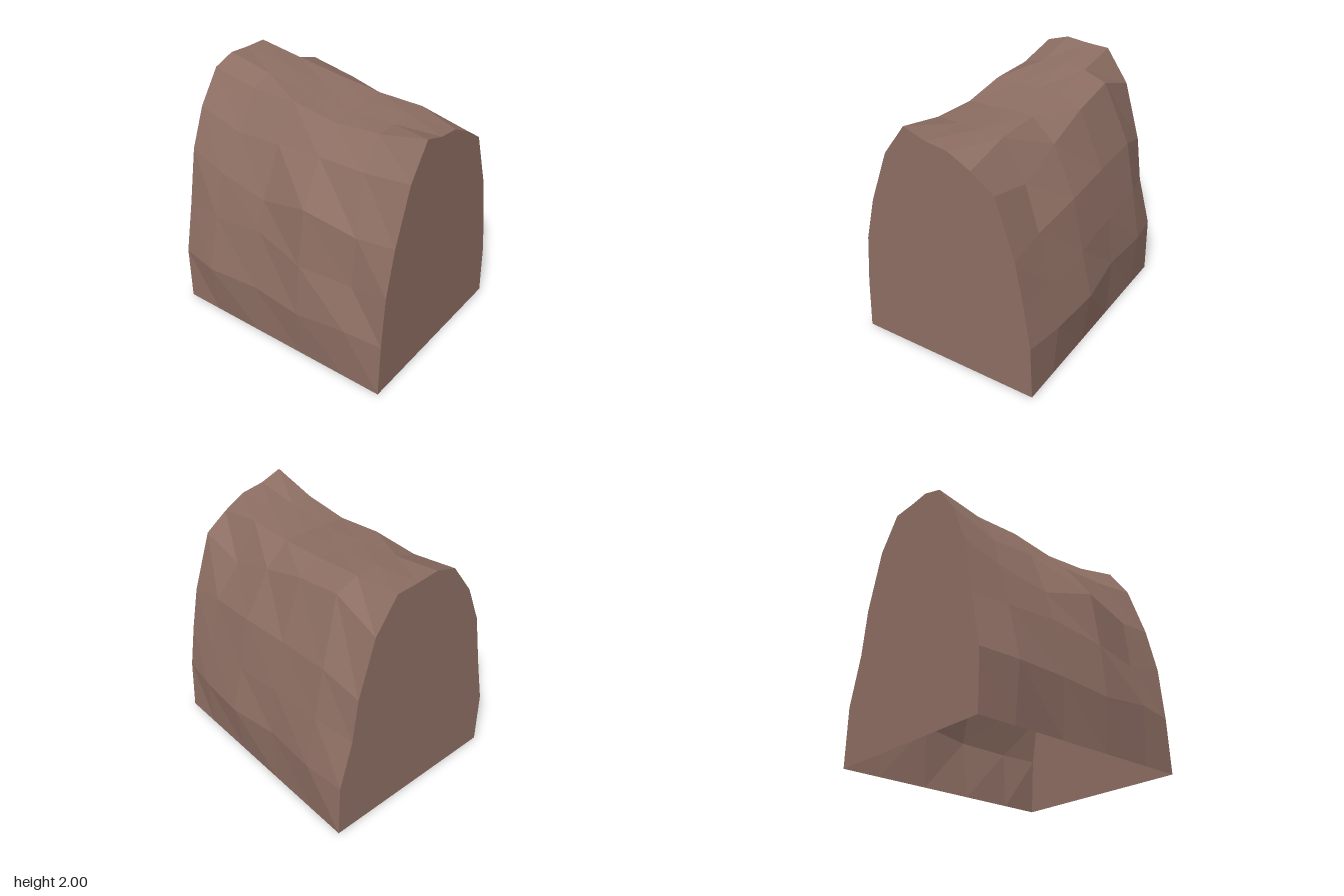
import * as THREE from 'three';

// Stations along the length, front to back (the flanks wander slightly in z)
const crestZ = [0.96, 0.575, 0.19, -0.19, -0.575, -0.96];
const flankZ = [0.96, 0.65, 0.22, -0.21, -0.65, -0.96];

// Lengthwise lanes, from the foot of the right flank over the crest to the left flank.
// Crest lanes keep a constant x and vary in height.
const crestLane = (x, ys) => ys.map((y, i) => [x, y, crestZ[i]]);
const flankLane = (xs, ys) => xs.map((x, i) => [x, ys[i], flankZ[i]]);
const footLane = (x) => flankZ.map((z) => [x, 0, z]);

const lanes = [
  footLane(-0.78),
  flankLane([-0.76, -0.8, -0.815, -0.8, -0.83, -0.78], [0.45, 0.47, 0.42, 0.46, 0.45, 0.47]),
  flankLane([-0.72, -0.7, -0.77, -0.71, -0.72, -0.69], [0.88, 0.82, 0.85, 0.94, 0.9, 0.89]),
  flankLane([-0.63, -0.65, -0.7, -0.64, -0.62, -0.6], [1.25, 1.22, 1.31, 1.19, 1.26, 1.36]),
  crestLane(-0.47, [1.69, 1.64, 1.63, 1.6, 1.57, 1.68]),
  crestLane(-0.285, [1.95, 1.86, 1.83, 1.88, 1.87, 1.94]),
  crestLane(-0.105, [1.89, 1.86, 1.84, 1.88, 1.93, 2.0]),
  crestLane(0.08, [1.865, 1.865, 1.85, 1.88, 1.94, 1.985]),
  crestLane(0.265, [1.77, 1.85, 1.85, 1.885, 1.93, 1.98]),
  crestLane(0.45, [1.64, 1.54, 1.68, 1.8, 1.865, 1.72]),
  flankLane([0.61, 0.61, 0.645, 0.64, 0.64, 0.59], [1.17, 1.23, 1.3, 1.33, 1.36, 1.25]),
  flankLane([0.68, 0.71, 0.735, 0.73, 0.72, 0.64], [0.82, 0.83, 0.87, 0.92, 0.95, 0.88]),
  flankLane([0.74, 0.79, 0.825, 0.78, 0.8, 0.75], [0.45, 0.46, 0.48, 0.515, 0.51, 0.48]),
  footLane(0.76),
];

// Faceted skin stretched between neighbouring lanes
function skinGeometry() {
  const n = crestZ.length;
  const index = [];
  for (let i = 0; i < lanes.length - 1; i++) {
    for (let j = 0; j < n - 1; j++) {
      const a = i * n + j, b = a + n, c = b + 1, d = a + 1;
      index.push(a, b, c, a, c, d);
    }
  }
  const geometry = new THREE.BufferGeometry();
  geometry.setAttribute('position', new THREE.Float32BufferAttribute(lanes.flat(2), 3));
  geometry.setIndex(index);
  geometry.computeVertexNormals();
  return geometry;
}

// Flat end wall following the cross-section at one station
function wallGeometry(station, flip) {
  const outline = lanes.map((lane) => new THREE.Vector2(lane[station][0], lane[station][1]));
  const geometry = new THREE.ShapeGeometry(new THREE.Shape(outline));
  geometry.translate(0, 0, crestZ[station]);
  if (flip) geometry.setIndex([...geometry.index.array].reverse());
  geometry.computeVertexNormals();
  return geometry;
}

export function createModel() {
  const rock = new THREE.MeshStandardMaterial({ color: 0x8d6e63, flatShading: true, side: THREE.DoubleSide });
  rock.name = 'brown rock';

  const group = new THREE.Group();
  group.name = 'rockRidge';
  const add = (name, geometry) => {
    const mesh = new THREE.Mesh(geometry, rock);
    mesh.name = name;
    group.add(mesh);
  };

  // The underside stays open
  add('ridgeSurface', skinGeometry());
  add('frontWall', wallGeometry(0, false));
  add('backWall', wallGeometry(crestZ.length - 1, true));
  return group;
}
